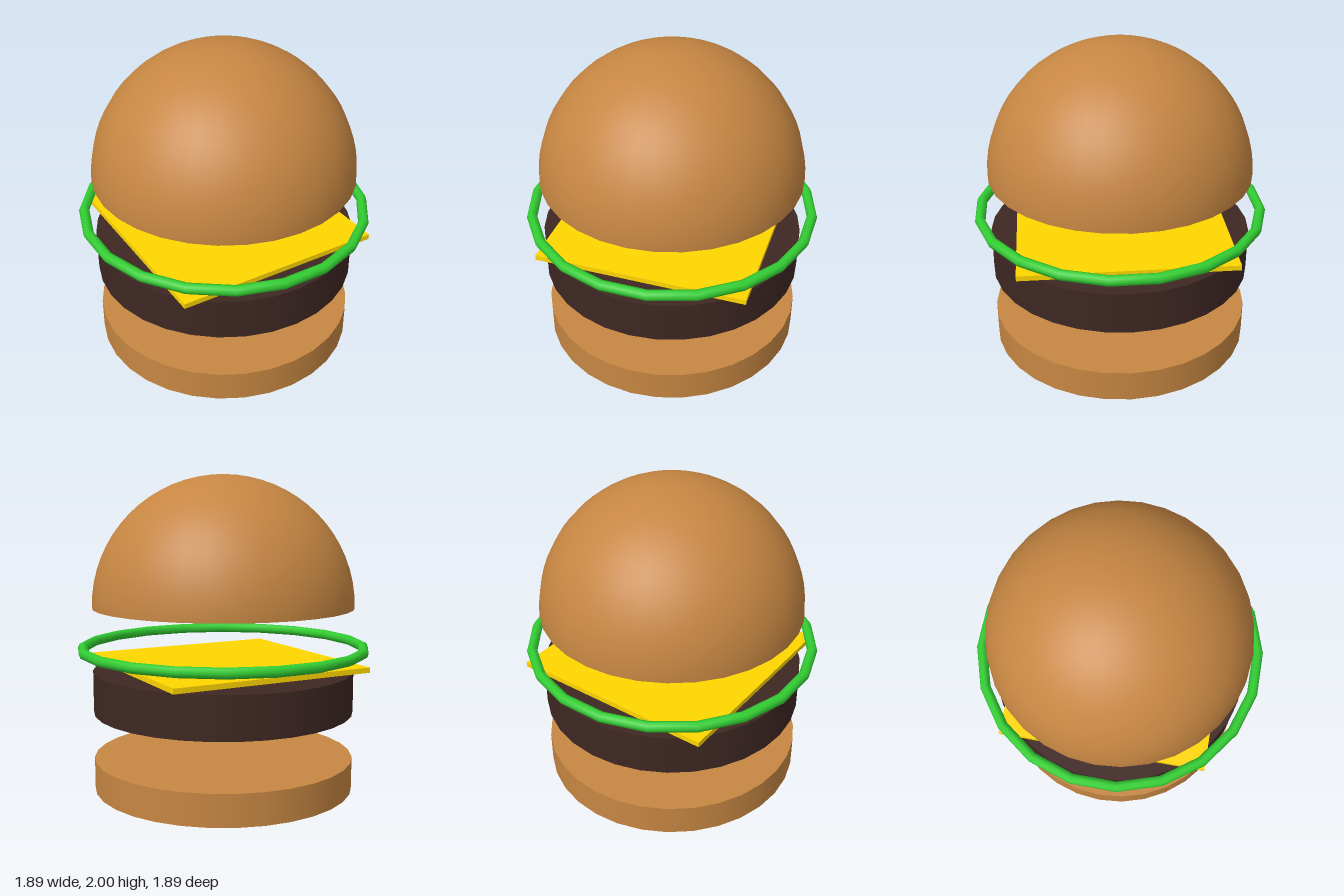
import * as THREE from 'three';

const BUN = 0xc68642, PATTY = 0x3e2723, CHEESE = 0xffd700, LETTUCE = 0x32cd32, SEED = 0xf5f0dc;
const R = 0.833; // shared radius of buns and patty
const DOME_Y = 1.167;

export function createModel() {
  const model = new THREE.Group();
  model.name = 'burger';

  const add = (name, geometry, color, y, x = 0, z = 0) => {
    const mesh = new THREE.Mesh(geometry, new THREE.MeshStandardMaterial({ color }));
    mesh.name = name;
    mesh.position.set(x, y, z);
    model.add(mesh);
    return mesh;
  };

  // Flat round layers
  add('bottomBun', new THREE.CylinderGeometry(R, R, 0.2, 32), BUN, 0.1);
  add('patty', new THREE.CylinderGeometry(R, R, 0.267, 32), PATTY, 0.634);

  // Square slice turned so its corners point along the axes
  add('cheese', new THREE.BoxGeometry(1.333, 0.033, 1.333), CHEESE, 0.803).rotation.y = Math.PI / 4;

  // Lettuce ring
  add('lettuce', new THREE.TorusGeometry(0.9, 0.033, 8, 20), LETTUCE, 0.903).rotation.x = Math.PI / 2;

  // Hollow dome, open underneath
  const dome = new THREE.SphereGeometry(R, 32, 16, 0, Math.PI * 2, 0, Math.PI / 2);
  add('topBun', dome, BUN, DOME_Y).material.side = THREE.DoubleSide;

  // Seeds inside the dome
  const seed = new THREE.SphereGeometry(0.02, 8, 8);
  for (const [x, z] of [[0.45, 0.23], [0.19, -0.11], [-0.26, -0.48], [-0.26, 0.07]]) {
    add('seed', seed, SEED, DOME_Y + 0.25, x, z);
  }
  return model;
}
